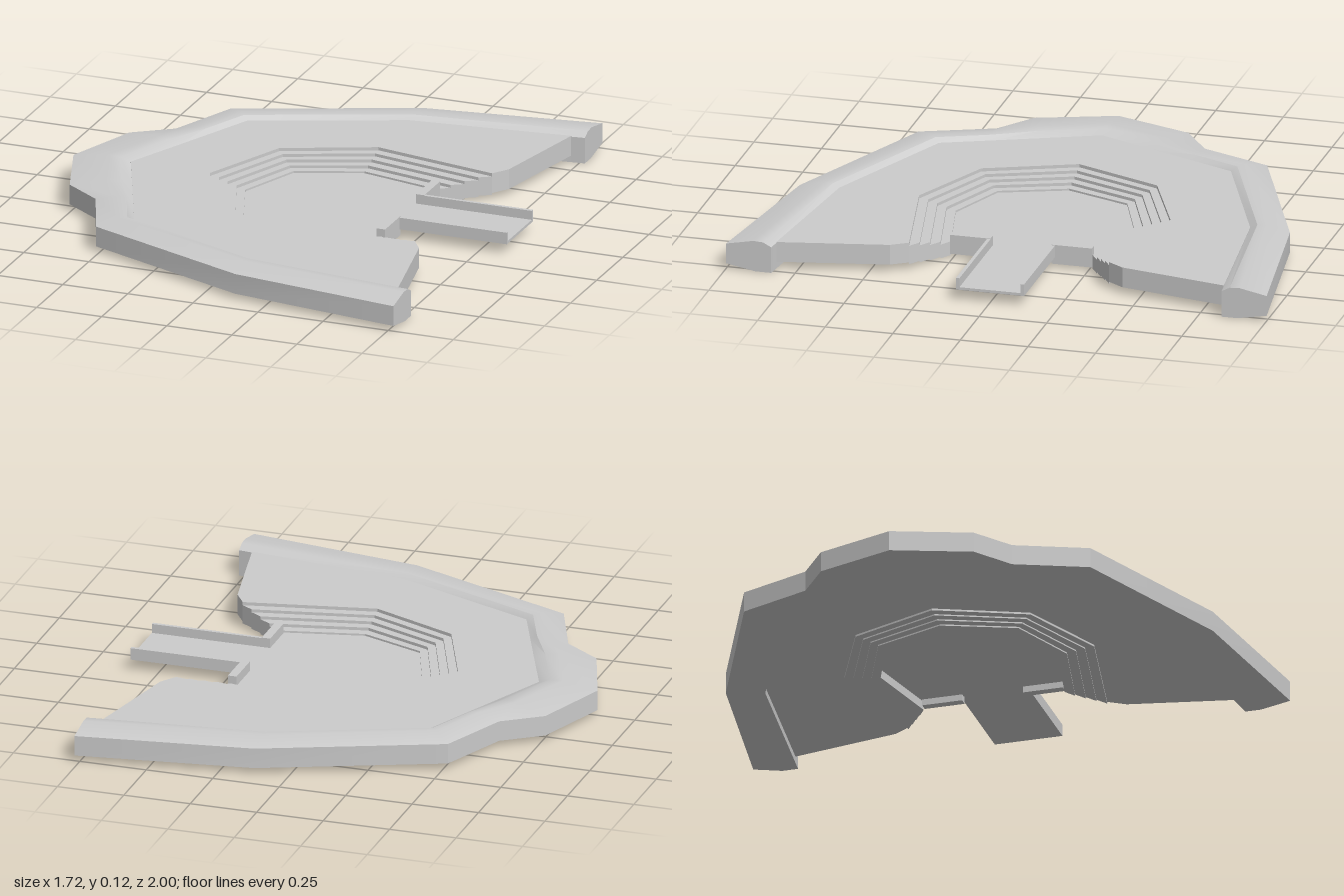
import * as THREE from 'three';
import { toCreasedNormals } from 'three/addons/utils/BufferGeometryUtils.js';

const material = new THREE.MeshStandardMaterial({ color: 0xcccccc });

// Completes a half outline given as [x, z] from the +z side to the back
const mirror = (half, centre) => [
  ...half, ...centre, ...half.map(([x, z]) => [x, -z]).reverse(),
];

// Flat slab between two heights from an [x, z] outline
function slab(name, outline, bottom, top) {
  const shape = new THREE.Shape(outline.map(([x, z]) => new THREE.Vector2(x, z)));
  const geometry = new THREE.ExtrudeGeometry(shape, { depth: top - bottom, bevelEnabled: false });
  geometry.rotateX(Math.PI / 2).translate(0, top, 0);
  const mesh = new THREE.Mesh(geometry, material);
  mesh.name = name;
  return mesh;
}

function box(name, x0, x1, y0, y1, z0, z1) {
  const mesh = new THREE.Mesh(new THREE.BoxGeometry(x1 - x0, y1 - y0, z1 - z0), material);
  mesh.position.set((x0 + x1) / 2, (y0 + y1) / 2, (z0 + z1) / 2);
  mesh.name = name;
  return mesh;
}

// Raised rim: one profile swept between the outer and inner outlines
function rim(outer, inner) {
  // [fraction from outer to inner edge, height]
  const profile = [[0, 0.02], [0, 0.095], [0.6, 0.115], [0.82, 0.113], [1, 0.097], [1, 0], [0.65, 0]];
  const n = profile.length;
  const positions = [];
  const index = [];
  outer.forEach(([ox, oz], i) => {
    const [ix, iz] = inner[i];
    for (const [t, y] of profile) positions.push(ox + (ix - ox) * t, y, oz + (iz - oz) * t);
  });
  for (let i = 0; i < outer.length - 1; i++) {
    for (let j = 0; j < n; j++) {
      const a = i * n + j, b = i * n + (j + 1) % n;
      index.push(a, b, a + n, b, b + n, a + n);
    }
  }
  const last = (outer.length - 1) * n;
  for (let j = 1; j < n - 1; j++) {
    index.push(0, j + 1, j, last, last + j, last + j + 1);
  }
  const geometry = new THREE.BufferGeometry();
  geometry.setAttribute('position', new THREE.Float32BufferAttribute(positions, 3));
  geometry.setIndex(index);
  const mesh = new THREE.Mesh(toCreasedNormals(geometry, 0.45), material);
  mesh.name = 'rim';
  return mesh;
}

export function createModel() {
  const model = new THREE.Group();
  model.name = 'platform';

  const outer = mirror(
    [[0.77, 1], [0.125, 0.907], [-0.515, 0.645], [-0.62, 0.385], [-0.76, 0.285]], [[-0.86, 0]]);
  const innerHalf = [[0.77, 0.833], [0.125, 0.76], [-0.41, 0.54], [-0.48, 0.375], [-0.55, 0.21]];
  const inner = mirror(innerHalf, [[-0.64, 0]]);
  model.add(rim(outer, inner));

  // Rings of the sunken stairs: 0 is the upper edge, 4 the floor edge
  const wide = [[0.6, 0.37], [0.125, 0.465], [-0.2, 0.325], [-0.335, 0]];
  const narrow = [[0.43, 0.262], [0.125, 0.33], [-0.11, 0.24], [-0.2, 0]];
  const ring = (k) => {
    const pts = wide.map(([x, z], i) => [
      x + (narrow[i][0] - x) * k / 4, z + (narrow[i][1] - z) * k / 4,
    ]);
    return mirror(pts.slice(0, 3), [pts[3]]);
  };
  const band = (a, b) => [...a, ...b.slice().reverse()];

  // Deck around the stairs, open towards +x
  const deckEdge = mirror([[0.64, 0.43], [0.72, 0.828], ...innerHalf.slice(1)], [[-0.64, 0]]);
  model.add(slab('deck', band(deckEdge, ring(0)), 0.025, 0.1));

  // Four steps down to the floor
  const steps = new THREE.Group();
  steps.name = 'steps';
  for (let k = 0; k < 4; k++) {
    steps.add(slab('step', band(ring(k), ring(k + 1)), 0.018 - k * 0.005, 0.088 - k * 0.011));
  }
  model.add(steps);

  // Sunken floor and the walkway leading out of it
  model.add(slab('floor', ring(4), 0.035, 0.048));
  model.add(box('walkway', 0.43, 0.855, 0.038, 0.048, -0.125, 0.125));

  // Parapets beside the entrance and rails along the walkway
  for (const s of [-1, 1]) {
    const span = (a, b) => (s > 0 ? [a, b] : [-b, -a]);
    model.add(box('parapet', 0.41, 0.442, 0.012, 0.084, ...span(0.113, 0.262)));
    model.add(box('rail', 0.44, 0.855, 0.038, 0.082, ...span(0.113, 0.126)));
  }
  return model;
}
